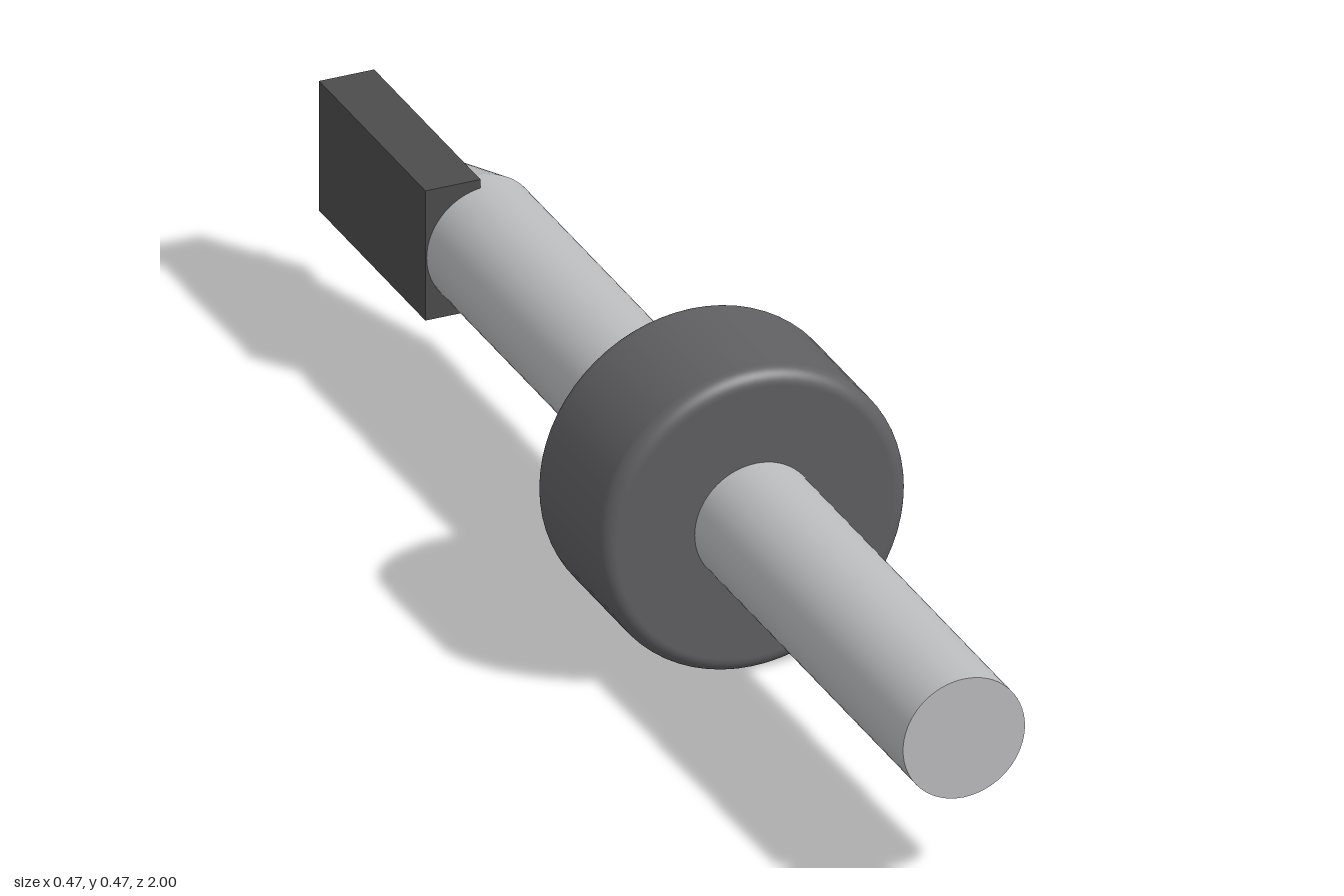
import * as THREE from 'three';

const AXIS_Y = 0.238;   // height of the tool's centre line
const SHAFT_R = 0.094;

export function createModel() {
  const group = new THREE.Group();
  const material = (name, color) => {
    const m = new THREE.MeshStandardMaterial({ color });
    m.name = name;
    return m;
  };
  const steel = material('light steel', 0xbcbdbf);
  const collarGrey = material('collar grey', 0x606063);
  const carbide = material('dark carbide', 0x4c4c4d);

  const add = (name, geometry, mat, x, y, z) => {
    const mesh = new THREE.Mesh(geometry, mat);
    mesh.name = name;
    mesh.position.set(x, y, z);
    group.add(mesh);
    return mesh;
  };

  // Straight round shaft from the front end to the base of the tip
  const shaftBack = -0.67;
  const shaft = new THREE.CylinderGeometry(SHAFT_R, SHAFT_R, 1 - shaftBack, 64).rotateX(Math.PI / 2);
  add('shaft', shaft, steel, 0, AXIS_Y, (1 + shaftBack) / 2);

  // Conical tip pointing backwards
  const tipLength = 1 + shaftBack;
  const tip = new THREE.ConeGeometry(SHAFT_R, tipLength, 64, 1, true).rotateX(-Math.PI / 2);
  add('tip', tip, steel, 0, AXIS_Y, shaftBack - tipLength / 2);

  // Collar with rounded rims, lathed around the shaft
  const R = 0.237, half = 0.117, fillet = 0.024;
  const profile = new THREE.Path();
  profile.moveTo(SHAFT_R - 0.01, -half);
  profile.lineTo(R - fillet, -half);
  profile.absarc(R - fillet, -half + fillet, fillet, -Math.PI / 2, 0, false);
  profile.lineTo(R, half - fillet);
  profile.absarc(R - fillet, half - fillet, fillet, 0, Math.PI / 2, false);
  profile.lineTo(SHAFT_R - 0.01, half);
  const collar = new THREE.LatheGeometry(profile.getPoints(8), 64).rotateX(Math.PI / 2);
  add('collar', collar, collarGrey, 0, AXIS_Y, 0.168);

  // Flat cutting plate set into the side of the tip
  add('cuttingPlate', new THREE.BoxGeometry(0.085, 0.206, 0.365), carbide, -0.0535, 0.242, -0.8175);

  return group;
}
